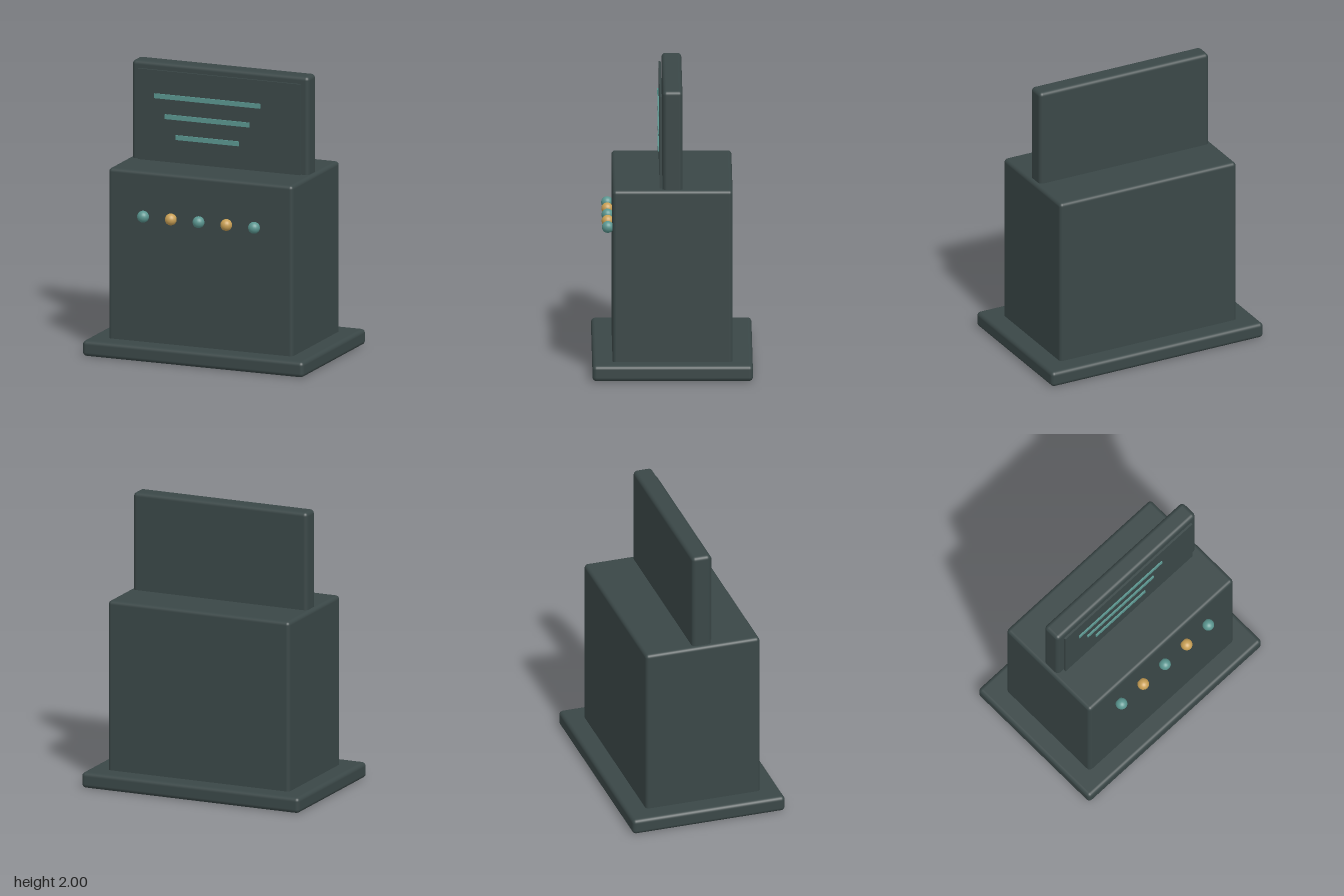
import * as THREE from 'three';
import { RoundedBoxGeometry } from 'three/addons/geometries/RoundedBoxGeometry.js';

function material(name, color) {
  const m = new THREE.MeshStandardMaterial({ color });
  m.name = name;
  return m;
}

export function createModel() {
  const group = new THREE.Group();
  const slate = material('dark slate', 0x3a4747);
  const teal = material('teal', 0x5a958f);
  const amber = material('amber', 0xc89f55);

  const add = (name, geometry, mat, x, y, z) => {
    const mesh = new THREE.Mesh(geometry, mat);
    mesh.name = name;
    mesh.position.set(x, y, z);
    group.add(mesh);
  };

  // Plinth, cabinet and upright screen housing
  const slab = (name, w, h, d, r, bottom) =>
    add(name, new RoundedBoxGeometry(w, h, d, 4, r), slate, 0, bottom + h / 2, 0);
  slab('base', 1.65, 0.11, 1.1, 0.028, 0);
  slab('cabinet', 1.376, 1.23, 0.824, 0.026, 0.08);
  slab('screenHousing', 1.32, 0.75, 0.136, 0.028, 1.25);

  // Thin screen panel just in front of the housing
  add('screenPanel', new THREE.BoxGeometry(1.21, 0.68, 0.015), slate, 0, 1.61, 0.081);

  // Lines on the screen, each shorter than the one above
  [[-0.48, 0.31, 1.77], [-0.4, 0.23, 1.63], [-0.32, 0.15, 1.49]].forEach(([x0, x1, y], i) =>
    add(`screenLine${i + 1}`, new THREE.BoxGeometry(x1 - x0, 0.033, 0.009), teal,
      (x0 + x1) / 2, y, 0.094));

  // Row of alternating round buttons
  const knob = new THREE.SphereGeometry(0.041, 20, 14);
  for (let i = 0; i < 5; i++) {
    add(`button${i + 1}`, knob, i % 2 ? amber : teal, (i - 2) * 0.207, 1, 0.443);
  }
  return group;
}
